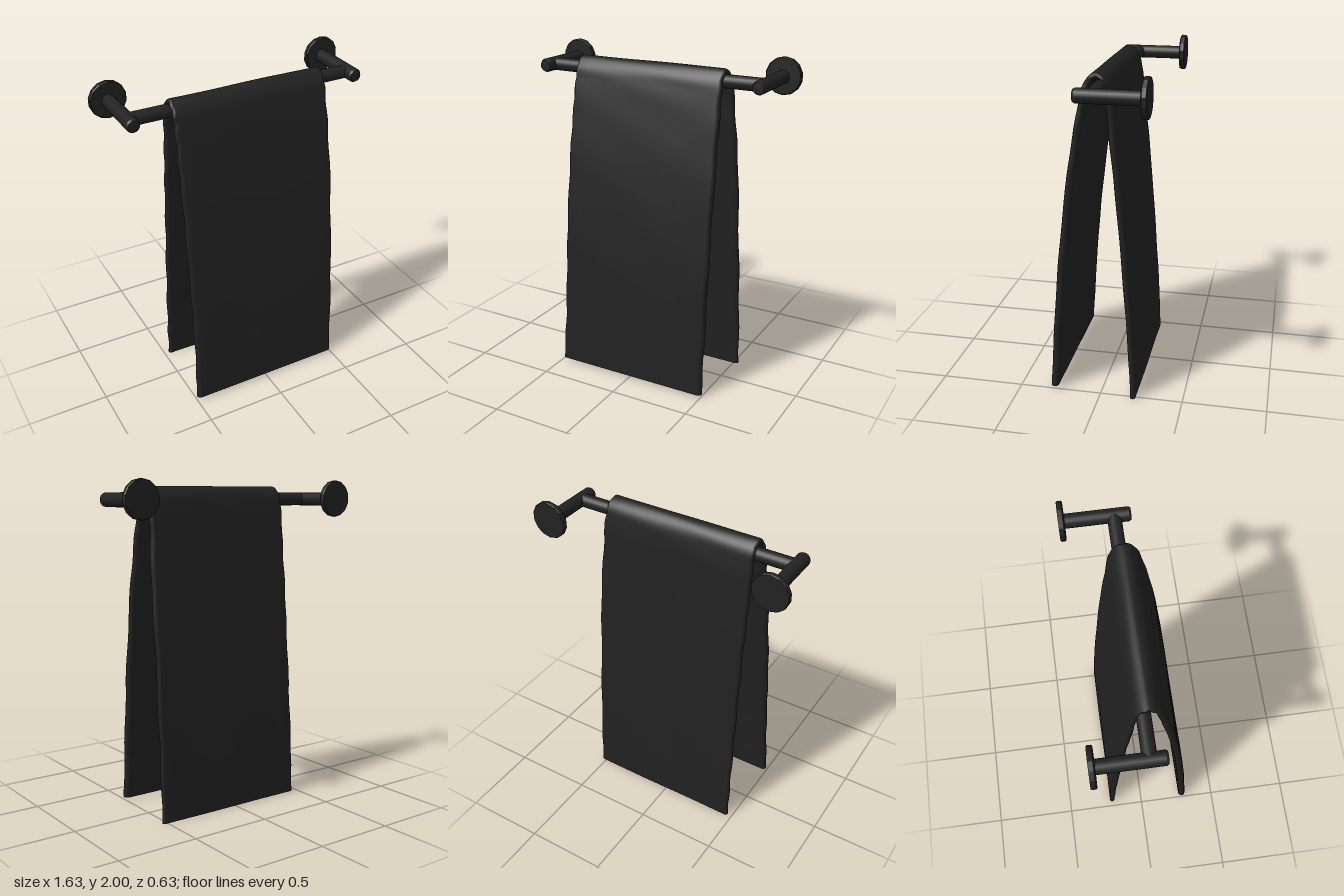
import * as THREE from 'three';

const metal = new THREE.MeshStandardMaterial({ color: 0x222222 });
metal.name = 'black metal';
const fabric = new THREE.MeshStandardMaterial({ color: 0x212121 });
fabric.name = 'black fabric';

const BAR_Y = 1.885, POST_X = 0.706;

function add(group, name, geometry, material, x = 0, y = 0, z = 0) {
  const mesh = new THREE.Mesh(geometry, material);
  mesh.name = name;
  mesh.position.set(x, y, z);
  group.add(mesh);
  return mesh;
}

// Hanging line of the cloth, front hem to back hem: z, y, thickness, right edge x, left edge x
const hang = [
  [0.290, 0.02, 0.046, -0.495, 0.500],
  [0.272, 0.30, 0.048, -0.484, 0.502],
  [0.247, 0.65, 0.046, -0.482, 0.503],
  [0.214, 1.00, 0.044, -0.483, 0.502],
  [0.165, 1.40, 0.042, -0.482, 0.500],
  [0.124, 1.65, 0.042, -0.480, 0.496],
  [0.092, 1.82, 0.040, -0.478, 0.492],
  [0.068, 1.905, 0.034, -0.477, 0.490],
  [0.022, 1.948, 0.030, -0.476, 0.488],
  [-0.028, 1.918, 0.030, -0.476, 0.490],
  [-0.054, 1.82, 0.036, -0.476, 0.500],
  [-0.076, 1.60, 0.042, -0.474, 0.512],
  [-0.104, 1.35, 0.040, -0.472, 0.522],
  [-0.136, 1.00, 0.040, -0.470, 0.522],
  [-0.168, 0.60, 0.038, -0.470, 0.526],
  [-0.192, 0.25, 0.035, -0.469, 0.528],
  [-0.203, 0.005, 0.032, -0.468, 0.529],
];

// Thick cloth: rounded cross-sections swept along the hanging line
function towelGeometry() {
  const rows = 90, cols = 14, round = 5;
  const path = new THREE.CatmullRomCurve3(hang.map(([z, y]) => new THREE.Vector3(0, y, z)), false, 'centripetal');
  const pos = [], index = [];
  const count = 2 * (cols - 1) + 2 * (round + 1);

  for (let i = 0; i <= rows; i++) {
    const u = i / rows * (hang.length - 1);
    const k = Math.min(Math.floor(u), hang.length - 2), f = u - k;
    const mix = (c) => THREE.MathUtils.lerp(hang[k][c], hang[k + 1][c], f);
    const p = path.getPoint(i / rows), t = path.getTangent(i / rows);
    const nz = t.y, ny = -t.z;
    const r = mix(2) / 2;
    const x0 = mix(3) + 0.003 * Math.sin(i * 1.3) + r;
    const x1 = mix(4) + 0.003 * Math.sin(i * 0.9 + 1) - r;
    const put = (x, n) => {
      const ripple = 0.0015 * Math.sin(x * 9 + i * 0.35) * Math.sin(i * 0.5);
      pos.push(x, p.y + ny * (n + ripple), p.z + nz * (n + ripple));
    };
    for (let j = 0; j <= round; j++) {
      const a = -Math.PI / 2 + Math.PI * j / round;
      put(x1 + r * Math.cos(a), r * Math.sin(a));
    }
    for (let j = 1; j < cols; j++) put(x1 + (x0 - x1) * j / cols, r);
    for (let j = 0; j <= round; j++) {
      const a = Math.PI / 2 + Math.PI * j / round;
      put(x0 + r * Math.cos(a), r * Math.sin(a));
    }
    for (let j = 1; j < cols; j++) put(x0 + (x1 - x0) * j / cols, -r);
  }
  for (let i = 0; i < rows; i++) for (let j = 0; j < count; j++) {
    const a = i * count + j, b = i * count + (j + 1) % count;
    index.push(a, a + count, b, b, a + count, b + count);
  }
  // Flat hems with their own vertices, so that the edge stays sharp
  for (const row of [0, rows]) {
    const start = pos.length / 3;
    for (let j = 0; j < count * 3; j++) pos.push(pos[row * count * 3 + j]);
    for (let j = 1; j < count - 1; j++) {
      if (row === 0) index.push(start, start + j, start + j + 1);
      else index.push(start, start + j + 1, start + j);
    }
  }
  const g = new THREE.BufferGeometry();
  g.setAttribute('position', new THREE.Float32BufferAttribute(pos, 3));
  g.setIndex(index);
  g.computeVertexNormals();
  return g;
}

// Turned solid along z from [radius, z] pairs running back to front
function turned(profile, sides) {
  const g = new THREE.LatheGeometry(profile.map(([r, z]) => new THREE.Vector2(r, z)), sides);
  return g.rotateX(Math.PI / 2);
}

export function createModel() {
  const model = new THREE.Group();
  model.name = 'towelRail';

  // Horizontal rail
  const rail = new THREE.CylinderGeometry(0.04, 0.04, 2 * POST_X, 20).rotateZ(Math.PI / 2);
  add(model, 'rail', rail, metal, 0, BAR_Y, -0.006);

  // Wall brackets, one at each end
  for (const side of [-1, 1]) {
    const bracket = new THREE.Group();
    bracket.name = side > 0 ? 'leftBracket' : 'rightBracket';
    bracket.position.set(side * POST_X, BAR_Y, 0);
    const post = turned([[0.041, -0.3], [0.041, 0.076], [0.041, 0.076], [0.034, 0.088], [0.034, 0.088], [0, 0.09]], 20);
    add(bracket, 'post', post, metal);
    const plate = turned([[0, -0.317], [0.108, -0.317], [0.112, -0.311], [0.112, -0.29], [0.106, -0.283], [0, -0.281]], 14).toNonIndexed();
    plate.computeVertexNormals();
    add(bracket, 'wallPlate', plate, metal, 0, 0.003, 0);
    model.add(bracket);
  }

  // Towel folded over the rail
  add(model, 'towel', towelGeometry(), fabric);
  return model;
}
